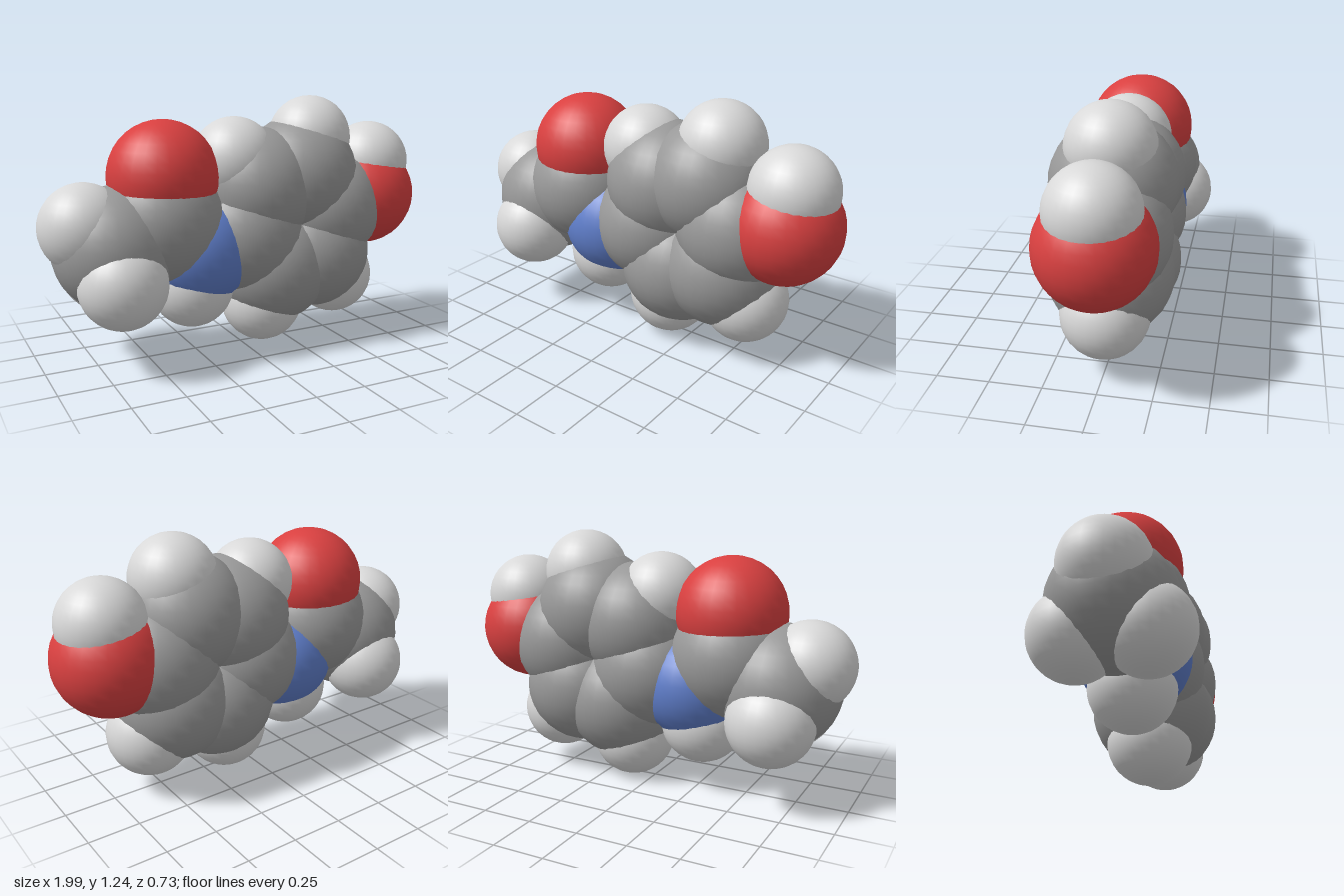
import * as THREE from 'three';

export function createModel() {
  const model = new THREE.Group();
  model.name = 'spaceFillingMolecule';

  const mat = (name, color) => {
    const m = new THREE.MeshStandardMaterial({ color });
    m.name = name;
    return m;
  };
  const element = (name, color, radius) => ({
    material: mat(name, color),
    geometry: new THREE.SphereGeometry(radius, 28, 18),
  });
  const carbon = element('carbonGrey', 0x999999, 0.296);
  const oxygen = element('oxygenRed', 0xd94040, 0.266);
  const nitrogen = element('nitrogenBlue', 0x607fcc, 0.271);
  const hydrogen = element('hydrogenLightGrey', 0xd8d8d8, 0.208);

  const atom = (name, kind, x, y, z = 0) => {
    const mesh = new THREE.Mesh(kind.geometry, kind.material);
    mesh.name = name;
    mesh.position.set(x, y, z);
    model.add(mesh);
  };

  // Six-carbon ring, with hydrogens on the four corners that carry no other group
  const cx = 0.256, cy = 0.635;
  for (let i = 0; i < 6; i++) {
    const a = THREE.MathUtils.degToRad(12 + i * 60);
    const c = Math.cos(a), s = Math.sin(a);
    atom('ringCarbon' + (i + 1), carbon, cx + 0.241 * c, cy + 0.241 * s);
    if (i % 3) atom('ringHydrogen' + i, hydrogen, cx + 0.434 * c, cy + 0.434 * s);
  }

  // Hydroxyl group
  atom('hydroxylOxygen', oxygen, 0.727, 0.732);
  atom('hydroxylHydrogen', hydrogen, 0.754, 0.904);

  // Amide group
  atom('amideNitrogen', nitrogen, -0.22, 0.532);
  atom('amideHydrogen', hydrogen, -0.265, 0.352);
  atom('carbonylCarbon', carbon, -0.412, 0.688);
  atom('carbonylOxygen', oxygen, -0.404, 0.899);

  // Methyl group
  atom('methylCarbon', carbon, -0.647, 0.575);
  atom('methylHydrogenOuter', hydrogen, -0.792, 0.688);
  for (const side of [1, -1]) {
    atom(side > 0 ? 'methylHydrogenFront' : 'methylHydrogenBack', hydrogen, -0.662, 0.444, side * 0.157);
  }

  return model;
}
